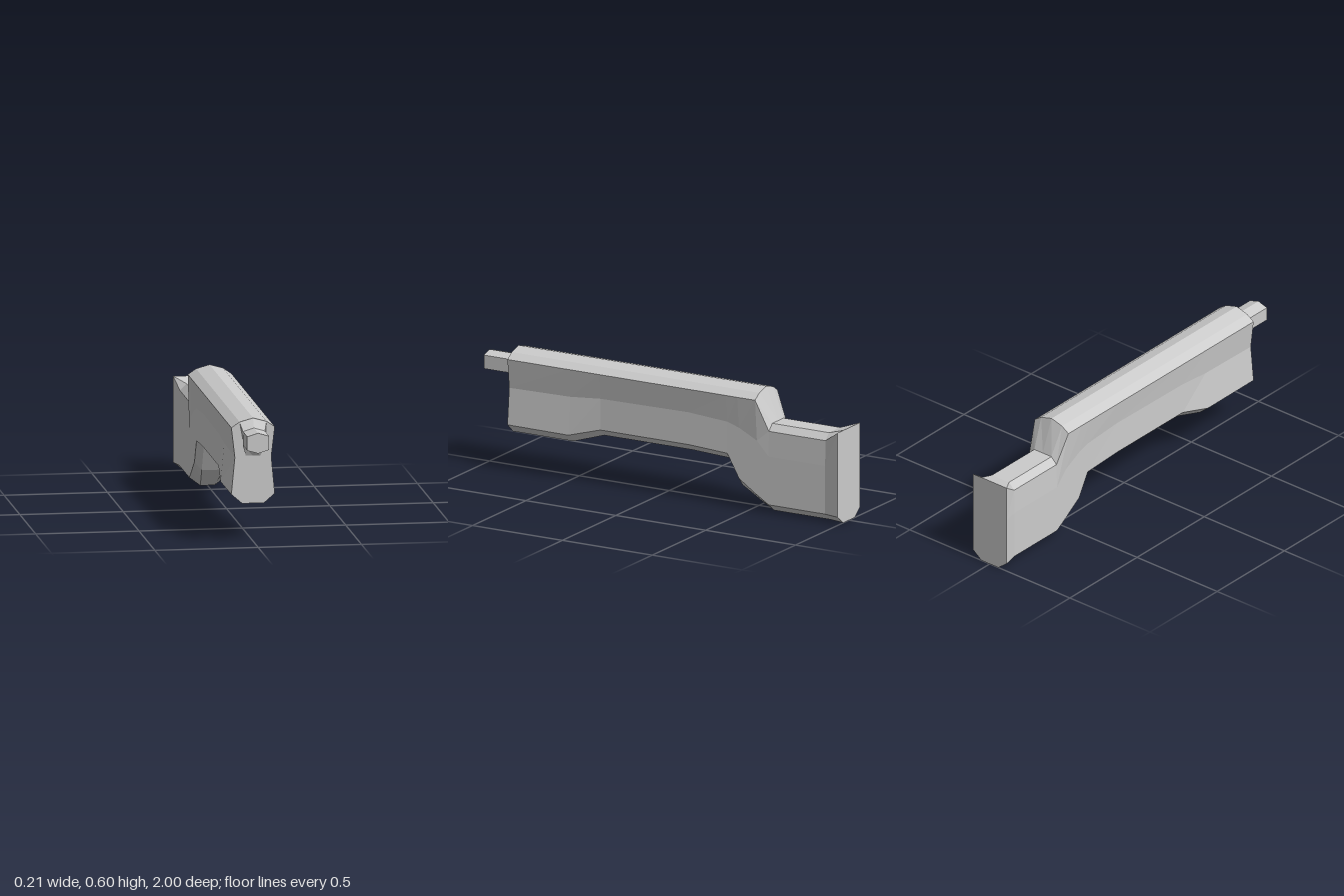
import * as THREE from 'three';

const material = new THREE.MeshStandardMaterial({ color: 0xcccccc, flatShading: true, side: THREE.DoubleSide });

// Mirrors a right-hand half profile (top to bottom) into a closed counter-clockwise ring at depth z
function ring(z, half) {
  const left = half.map(([x, y]) => [-x, y, z]);
  const right = half.filter(([x]) => x > 0).reverse().map(([x, y]) => [x, y, z]);
  return [...left, ...right];
}

// Skins rings running from front to back and closes both ends around a hub height
function loft(name, rings, frontHub, backHub) {
  const pos = [];
  const tri = (...corners) => corners.forEach((p) => pos.push(...p));
  const n = rings[0].length;
  const first = rings[0], last = rings[rings.length - 1];
  for (let i = 0; i < n; i++) {
    const j = (i + 1) % n;
    for (let k = 0; k < rings.length - 1; k++) {
      const a = rings[k], b = rings[k + 1];
      tri(a[i], b[i], b[j]);
      tri(a[i], b[j], a[j]);
    }
    tri([0, frontHub, first[0][2]], first[i], first[j]);
    tri([0, backHub, last[0][2]], last[j], last[i]);
  }
  const geometry = new THREE.BufferGeometry();
  geometry.setAttribute('position', new THREE.Float32BufferAttribute(pos, 3));
  geometry.computeVertexNormals();
  const mesh = new THREE.Mesh(geometry, material);
  mesh.name = name;
  return mesh;
}

// Ridge heights and widths of the top: full body, lowered stock, flared butt
const HIGH = [[0, 0.6], [0.065, 0.582], [0.105, 0.555]];
const LOW = [[0, 0.437], [0.053, 0.437], [0.085, 0.405]];
const BUTT = [[0, 0.46], [0.053, 0.46], [0.105, 0.46]];

// z, top profile, waist [x, y], lower edge [x, y], underside [x, y]
const bodySections = [
  [0.838, HIGH, [0.088, 0.41], [0.105, 0.23], [0.053, 0.185]],
  [0.5, HIGH, [0.088, 0.415], [0.105, 0.228], [0.053, 0.185]],
  [0.33, HIGH, [0.088, 0.43], [0.09, 0.275], [0.053, 0.24]],
  [-0.16, HIGH, [0.088, 0.435], [0.09, 0.275], [0.053, 0.24]],
  [-0.375, HIGH, [0.088, 0.42], [0.088, 0.263], [0.053, 0.23]],
  [-0.44, HIGH, [0.088, 0.4], [0.088, 0.148], [0.053, 0.106]],
  [-0.54, HIGH, [0.088, 0.35], [0.088, 0.08], [0.042, 0.04]],
  [-0.605, LOW, [0.088, 0.28], [0.088, 0.04], [0.035, 0]],
  [-0.92, LOW, [0.088, 0.28], [0.088, 0.04], [0.035, 0]],
  [-1, BUTT, [0.105, 0.28], [0.105, 0.04], [0.053, 0]],
];

// Six-sided muzzle, flaring where it meets the body
const MUZZLE = [[0, 0.556], [0.053, 0.54], [0.053, 0.473], [0, 0.457]];
const FLARE = [[0, 0.598], [0.065, 0.58], [0.035, 0.415], [0, 0.415]];

export function createModel() {
  const group = new THREE.Group();
  const bodyRings = bodySections.map(([z, top, ...lower]) => ring(z, [...top, ...lower]));
  group.add(loft('bodyAndStock', bodyRings, 0.35, 0.25));

  const muzzleRings = [ring(1, MUZZLE), ring(0.865, MUZZLE), ring(0.837, FLARE)];
  group.add(loft('muzzle', muzzleRings, 0.507, 0.5));
  return group;
}
